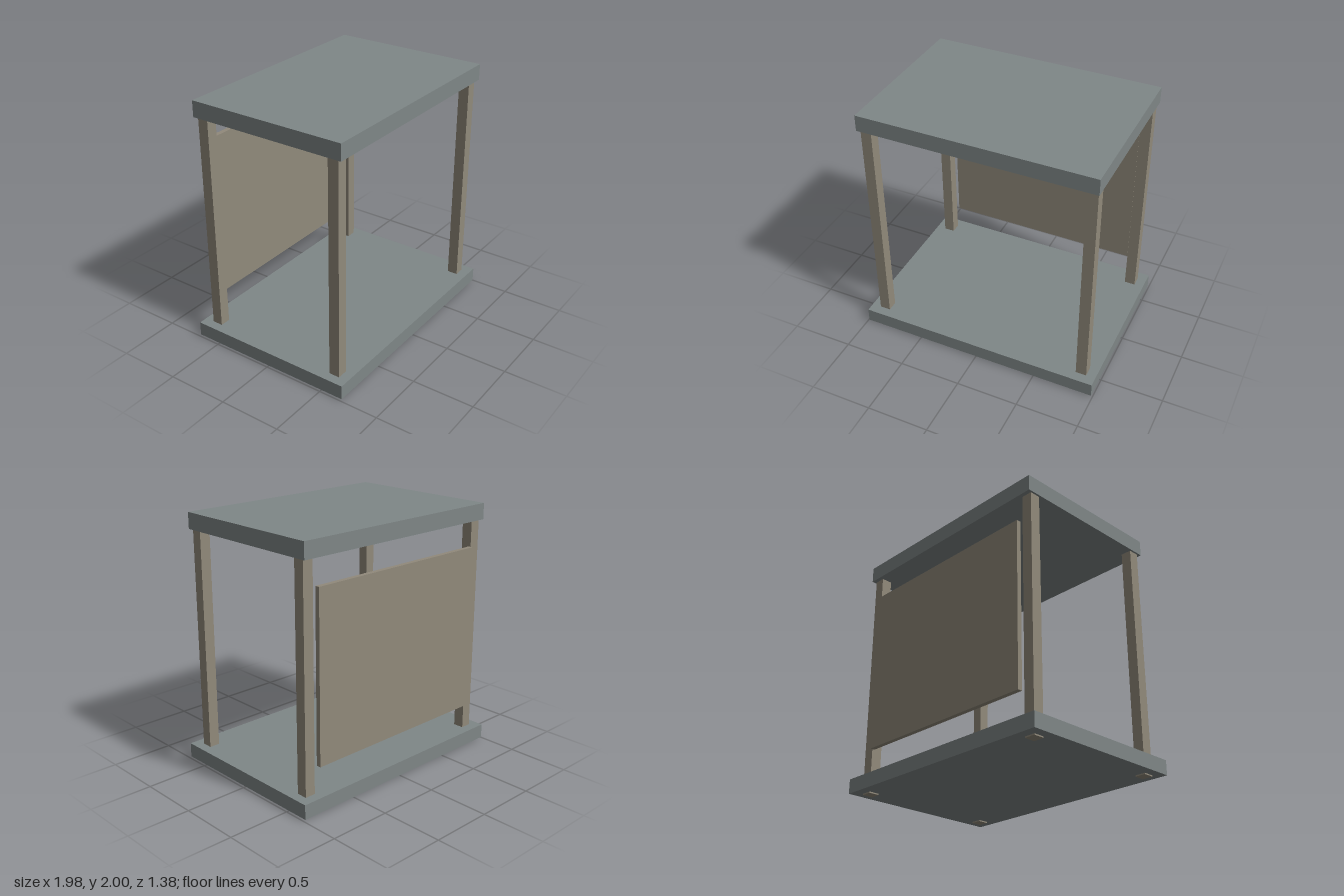
import * as THREE from 'three';

export function createModel() {
  const model = new THREE.Group();
  const slate = new THREE.MeshStandardMaterial({ color: 0x7f8787 });
  slate.name = 'slate grey';
  const wood = new THREE.MeshStandardMaterial({ color: 0x918a7b });
  wood.name = 'weathered wood';

  // Box spanning y0 to y1, centred on x and z
  function box(name, material, width, depth, y0, y1, x = 0, z = 0) {
    const mesh = new THREE.Mesh(new THREE.BoxGeometry(width, y1 - y0, depth), material);
    mesh.name = name;
    mesh.position.set(x, (y0 + y1) / 2, z);
    model.add(mesh);
  }

  // Floor and roof slabs
  box('floor', slate, 1.976, 1.38, 0.01, 0.125);
  box('roof', slate, 1.856, 1.29, 1.872, 2);

  // Four corner posts, just poking out below the floor
  for (const [side, x] of [['Left', 0.87], ['Right', -0.87]]) {
    for (const [end, z] of [['front', 0.57], ['back', -0.57]]) {
      box(`${end}${side}Post`, wood, 0.086, 0.086, 0, 1.875, x, z);
    }
  }

  // Panel behind the back posts
  box('backPanel', wood, 1.606, 0.037, 0.34, 1.67, 0, -0.629);

  return model;
}
